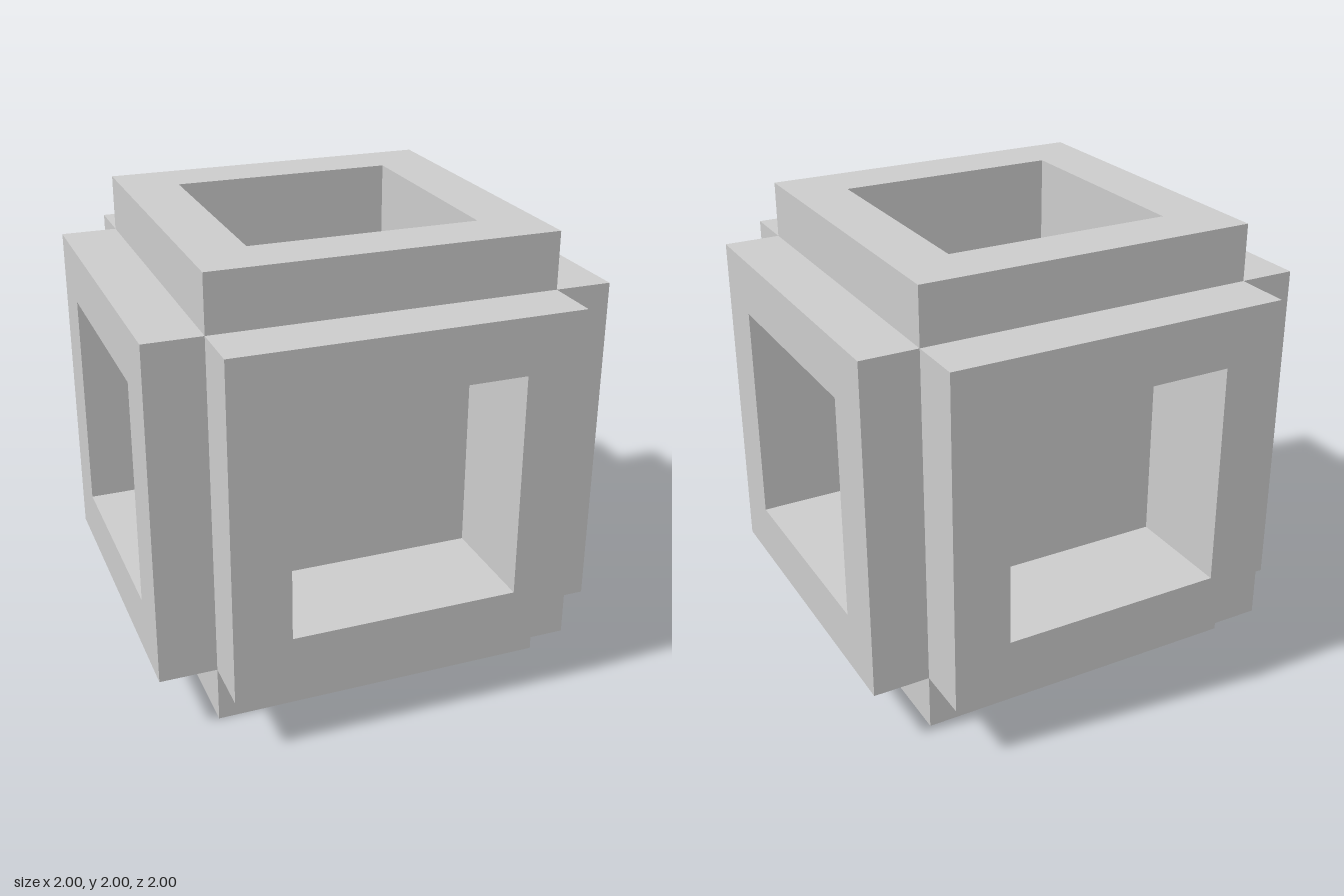
import * as THREE from 'three';

export function createModel() {
  const group = new THREE.Group();
  group.name = 'recessedCube';
  const material = new THREE.MeshStandardMaterial({ color: 0xcccccc, flatShading: true });

  // Square frame with a closed pocket: a four-sided lathe from outer foot to pocket floor
  const outer = 0.75, inner = 0.5, top = 1, floor = 0.5;
  const profile = [[outer, 0.75], [outer, top], [inner, top], [inner, floor], [0, floor]]
    .map(([halfWidth, y]) => new THREE.Vector2(halfWidth * Math.SQRT2, y));
  const geometry = new THREE.LatheGeometry(profile, 4, Math.PI / 4).toNonIndexed();
  geometry.computeVertexNormals();

  // One frame on each side of the cube; together they enclose the solid core
  const sides = {
    topFrame: [0, 1, 0], bottomFrame: [0, -1, 0],
    leftFrame: [1, 0, 0], rightFrame: [-1, 0, 0],
    frontFrame: [0, 0, 1], backFrame: [0, 0, -1],
  };
  const up = new THREE.Vector3(0, 1, 0);
  for (const [name, direction] of Object.entries(sides)) {
    const frame = new THREE.Mesh(geometry, material);
    frame.name = name;
    frame.quaternion.setFromUnitVectors(up, new THREE.Vector3(...direction));
    frame.position.y = 1;
    group.add(frame);
  }
  return group;
}
